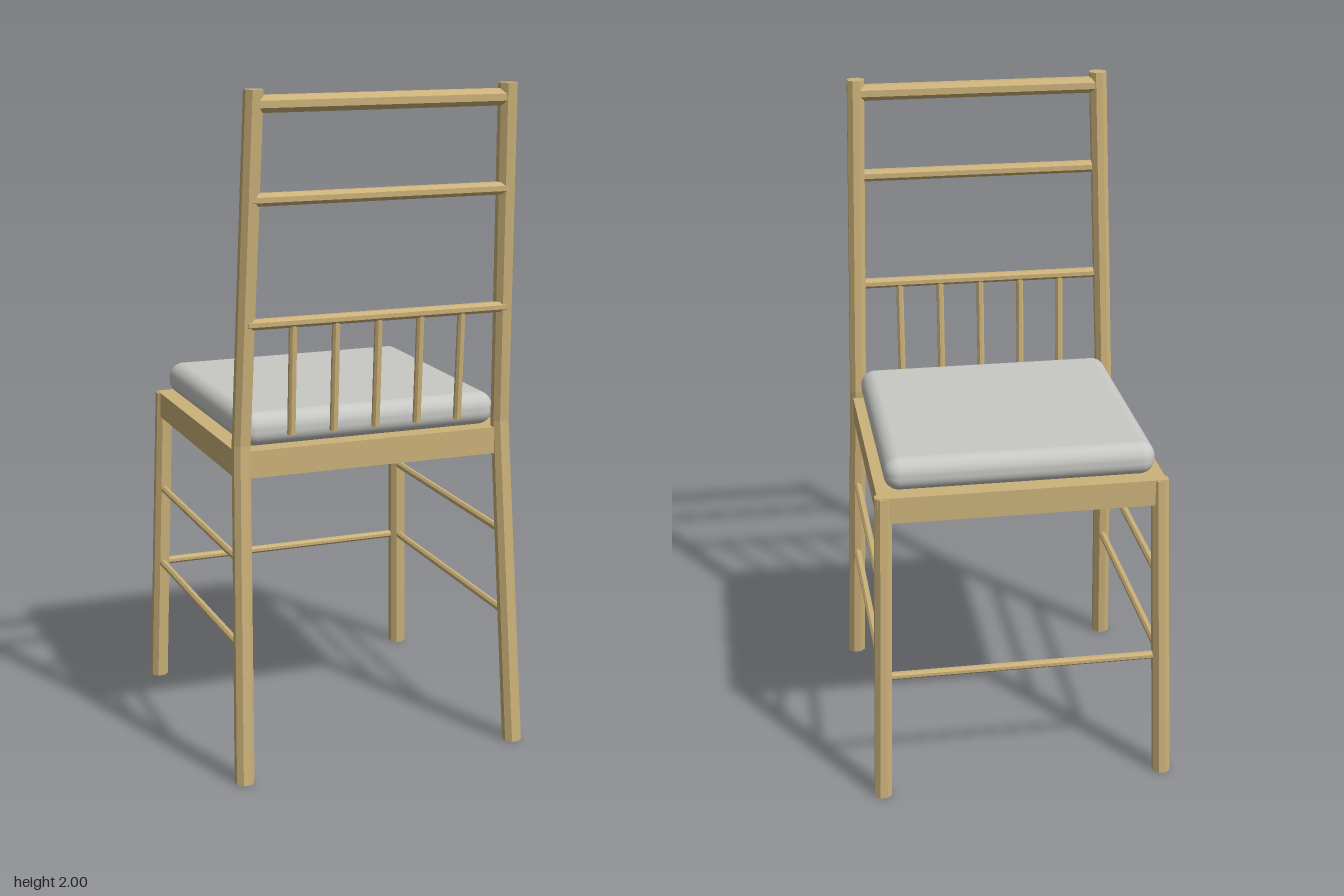
import * as THREE from 'three';
import { RoundedBoxGeometry } from 'three/addons/geometries/RoundedBoxGeometry.js';

const wood = new THREE.MeshStandardMaterial({ color: 0xccb27a, flatShading: true });
wood.name = 'pale wood';
const fabric = new THREE.MeshStandardMaterial({ color: 0xc8c8c5 });
fabric.name = 'grey fabric';

const SEAT_TOP = 0.98;
const BEND = 1.0;

// Centre line of the posts at height y (left side)
const postX = (y) => 0.434 - 0.027 * y;
const backZ = (y) => (y < BEND ? 0.451 - 0.078 * (y / BEND) : 0.373 + 0.058 * (y - BEND));
const frontZ = (y) => -0.453 + 0.038 * (y / SEAT_TOP);

export function createModel() {
  const chair = new THREE.Group();
  chair.name = 'chair';

  function add(name, geometry, material = wood) {
    const mesh = new THREE.Mesh(geometry, material);
    mesh.name = name;
    chair.add(mesh);
    return mesh;
  }

  // Eight-sided post through level sections [x, y, z, half width]
  function post(name, sections) {
    const n = sections.length - 1;
    const g = new THREE.CylinderGeometry(1, 1, n, 8, n);
    g.rotateY(Math.PI / 8);
    const p = g.attributes.position;
    const k = 1 / Math.cos(Math.PI / 8);
    for (let i = 0; i < p.count; i++) {
      const [x, y, z, w] = sections[Math.round(p.getY(i) + n / 2)];
      p.setXYZ(i, x + p.getX(i) * w * k, y, z + p.getZ(i) * w * k);
    }
    g.computeVertexNormals();
    add(name, g);
  }

  // Eight-sided rod between two points
  function rod(name, a, b, halfWidth) {
    const from = new THREE.Vector3(...a);
    const to = new THREE.Vector3(...b);
    const r = halfWidth / Math.cos(Math.PI / 8);
    const g = new THREE.CylinderGeometry(r, r, from.distanceTo(to), 8);
    g.rotateY(Math.PI / 8);
    const mesh = add(name, g);
    mesh.position.copy(from).add(to).multiplyScalar(0.5);
    mesh.quaternion.setFromUnitVectors(new THREE.Vector3(0, 1, 0), to.sub(from).normalize());
  }

  // Legs, bent back posts and side stretchers
  for (const [side, s] of [['left', 1], ['right', -1]]) {
    post(side + 'BackPost', [
      [s * postX(0), 0, backZ(0), 0.027],
      [s * postX(BEND), BEND, backZ(BEND), 0.025],
      [s * postX(2), 2, backZ(2), 0.026],
    ]);
    post(side + 'FrontLeg', [
      [s * postX(0), 0, frontZ(0), 0.026],
      [s * postX(SEAT_TOP), SEAT_TOP - 0.002, frontZ(SEAT_TOP), 0.025],
    ]);
    for (const y of [0.4, 0.655]) {
      rod(side + 'Stretcher', [s * postX(y), y, frontZ(y)], [s * postX(y), y, backZ(y)], 0.011);
    }
  }
  rod('frontStretcher', [-postX(0.4), 0.4, frontZ(0.4)], [postX(0.4), 0.4, frontZ(0.4)], 0.011);

  // Seat frame and cushion
  add('seatFrame', new THREE.BoxGeometry(0.85, 0.08, 0.82)).position.set(0, 0.94, -0.025);
  add('cushion', new RoundedBoxGeometry(0.8, 0.1, 0.777, 6, 0.045), fabric).position.set(0, 1.03, -0.0225);

  // Back rails
  const rails = [['topRail', 1.96, 0.024, 0], ['middleRail', 1.7, 0.018, 0.008], ['lowerRail', 1.35, 0.015, 0.012]];
  for (const [name, y, w, dz] of rails) {
    const z = backZ(y) + dz;
    rod(name, [-postX(y), y, z], [postX(y), y, z], w);
  }

  // Spindles hanging from the lower rail
  for (let i = -2; i <= 2; i++) {
    rod('spindle', [i * 0.13, 1.02, backZ(1.02) + 0.012], [i * 0.13, 1.35, backZ(1.35) + 0.012], 0.011);
  }

  return chair;
}
